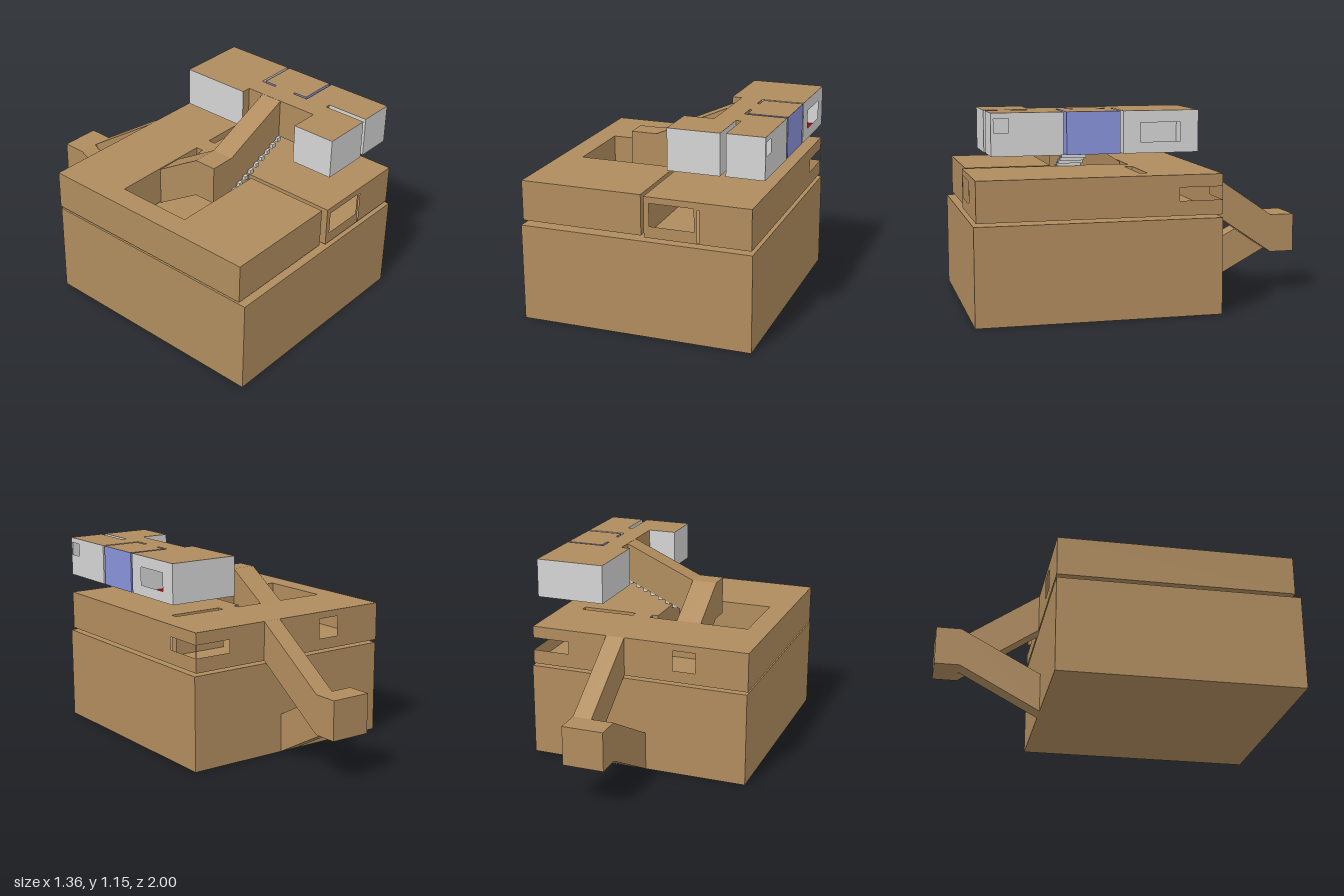
import * as THREE from 'three';

const mat = (name, color) => new THREE.MeshStandardMaterial({ name, color, side: THREE.DoubleSide });

export function createModel() {
  const root = new THREE.Group();
  const tan = mat('tan', 0xb08c5e);
  const grey = mat('grey', 0xd4d4d4);
  const blue = mat('blue', 0x8892da);
  const red = mat('red', 0x990808);

  const add = (parent, name, geometry, material) => {
    const m = new THREE.Mesh(geometry, material);
    m.name = name;
    parent.add(m);
    return m;
  };
  const group = (name) => {
    const g = new THREE.Group();
    g.name = name;
    root.add(g);
    return g;
  };
  const polygon = (pts) => new THREE.Shape(pts.map(([x, y]) => new THREE.Vector2(x, y)));
  const rect = (x0, x1, y0, y1) => [[x0, y0], [x1, y0], [x1, y1], [x0, y1]];

  // Box given by its limits
  const block = (parent, name, x0, x1, y0, y1, z0, z1, material) => {
    const m = add(parent, name, new THREE.BoxGeometry(x1 - x0, y1 - y0, z1 - z0), material);
    m.position.set((x0 + x1) / 2, (y0 + y1) / 2, (z0 + z1) / 2);
  };
  // Side profile in (z, y), extruded across x
  const profileZ = (parent, name, pts, x0, x1, material) => {
    const g = new THREE.ExtrudeGeometry(polygon(pts), { depth: x1 - x0, bevelEnabled: false });
    g.rotateY(-Math.PI / 2).translate(x1, 0, 0);
    add(parent, name, g, material);
  };
  // Flat sheet in (x, z) at height y
  const sheet = (parent, name, pts, y, material, holes = []) => {
    const s = polygon(pts);
    holes.forEach((h) => s.holes.push(polygon(h)));
    add(parent, name, new THREE.ShapeGeometry(s).rotateX(Math.PI / 2).translate(0, y, 0), material);
  };
  // Upright wall from a to b; windows are [start, end, bottom, top]
  const wall = (parent, name, a, b, y0, y1, material, windows = []) => {
    const dir = new THREE.Vector3(b[0] - a[0], 0, b[1] - a[1]);
    const s = polygon(rect(0, dir.length(), y0, y1));
    windows.forEach((w) => s.holes.push(polygon(rect(...w))));
    dir.normalize();
    const up = new THREE.Vector3(0, 1, 0);
    const frame = new THREE.Matrix4().makeBasis(dir, up, dir.clone().cross(up)).setPosition(a[0], 0, a[1]);
    add(parent, name, new THREE.ShapeGeometry(s).applyMatrix4(frame), material);
  };
  // Walls all round an outline
  const walls = (parent, pts, y0, y1, materialOf, windows = {}) => pts.forEach((a, i) =>
    wall(parent, 'wall', a, pts[(i + 1) % pts.length], y0, y1, materialOf(i), windows[i]));

  // Ground storey
  block(root, 'groundStorey', -0.675, 0.645, 0, 0.55, -0.39, 1, tan);

  // Middle storey: hollow rooms round an open courtyard
  const middle = group('middleStorey');
  const plan = [
    [-0.68, -0.39], [0.635, -0.39], [0.635, 0.985], [0.04, 0.985], [0.04, 0.43],
    [0.025, 0.43], [0.025, 0.055], [0.06, 0.055], [0.06, 0.01], [-0.55, 0.01],
    [-0.55, 0.465], [0.015, 0.465], [0.015, 0.965], [-0.68, 0.965],
  ];
  const slot = rect(0.17, 0.5, 0.01, 0.055);
  sheet(middle, 'roof', plan, 0.795, tan, [slot]);
  sheet(middle, 'floor', plan, 0.567, tan, [slot]);
  walls(middle, slot, 0.567, 0.795, () => tan);
  walls(middle, plan, 0.567, 0.795, () => tan, {
    0: [[0.31, 0.445, 0.635, 0.755], [1.09, 1.312, 0.65, 0.725]],
    1: [[0.003, 0.25, 0.65, 0.725]],
    2: [[0.287, 0.298, 0.57, 0.755], [0.315, 0.565, 0.632, 0.76]],
  });

  // Sloping passages at the back, joined by a landing
  const passage = group('backPassage');
  profileZ(passage, 'upperPassage', [[-0.39, 0.567], [-0.39, 0.795], [-0.855, 0.477], [-0.855, 0.25]], 0.06, 0.17, tan);
  profileZ(passage, 'lowerPassage', [[-0.39, 0], [-0.39, 0.228], [-0.855, 0.477], [-0.855, 0.25]], -0.07, 0.045, tan);
  block(passage, 'landing', -0.07, 0.17, 0.25, 0.477, -1, -0.855, tan);

  // Ramp from the courtyard and the covered stair to the top storey
  const stair = group('coveredStair');
  profileZ(stair, 'ramp', [[0.015, 0.563], [0.29, 0.737], [0.29, 0.965], [0.015, 0.793]], -0.26, -0.11, tan);
  const stairSide = polygon([
    [-0.26, 0.737], [-0.11, 0.737], [0.315, 0.927], [0.315, 1.154], [-0.11, 0.965], [-0.26, 0.965],
  ]);
  add(stair, 'stairPassage', new THREE.ExtrudeGeometry(stairSide, { depth: 0.13, bevelEnabled: false })
    .translate(0, 0, 0.29), tan);
  for (let i = 0; i < 9; i++) {
    const x = -0.104 + i * 0.0485;
    const y = 0.733 + i * 0.0211;
    block(stair, 'step', x, x + 0.029, y, y + 0.025, 0.295, 0.437, grey);
  }

  // Top storey: back room, middle room and front room under one roof
  const top = group('topStorey');
  const topPlan = [
    [0.26, -0.23], [0.675, -0.23], [0.675, 0.19], [0.435, 0.19], [0.435, 0.285],
    [0.45, 0.285], [0.45, 0.205], [0.675, 0.205], [0.675, 0.5], [0.45, 0.5],
    [0.45, 0.42], [0.435, 0.42], [0.435, 0.517], [0.675, 0.517], [0.675, 0.905],
    [0.465, 0.905], [0.465, 0.655], [0.435, 0.655], [0.435, 0.91], [0.145, 0.91],
    [0.145, 0.655], [0.315, 0.655], [0.315, 0.19], [0.26, 0.19],
  ];
  const y0 = 0.925;
  const y1 = 1.155;
  sheet(top, 'roof', topPlan, y1, tan);
  const blueWalls = [5, 6, 7, 8, 9];
  const tanWalls = [3, 4, 10, 11, 16, 21, 22];
  walls(top, topPlan, y0, y1,
    (i) => (blueWalls.includes(i) ? blue : tanWalls.includes(i) ? tan : grey), {
      1: [[0.1, 0.325, 0.985, 1.09]],
      13: [[0.293, 0.373, 1.05, 1.125]],
    });
  sheet(top, 'backRoomFloor', rect(0.26, 0.675, -0.23, 0.19), y0, red);
  sheet(top, 'middleRoomFloor', [
    [0.315, 0.19], [0.435, 0.19], [0.435, 0.285], [0.45, 0.285], [0.45, 0.205], [0.675, 0.205],
    [0.675, 0.5], [0.45, 0.5], [0.45, 0.42], [0.435, 0.42], [0.435, 0.517], [0.315, 0.517],
  ], y0, tan);
  sheet(top, 'frontRoomFloor', [
    [0.315, 0.517], [0.675, 0.517], [0.675, 0.905], [0.465, 0.905], [0.465, 0.655],
    [0.435, 0.655], [0.435, 0.91], [0.145, 0.91], [0.145, 0.655], [0.315, 0.655],
  ], y0, grey);

  return root;
}
